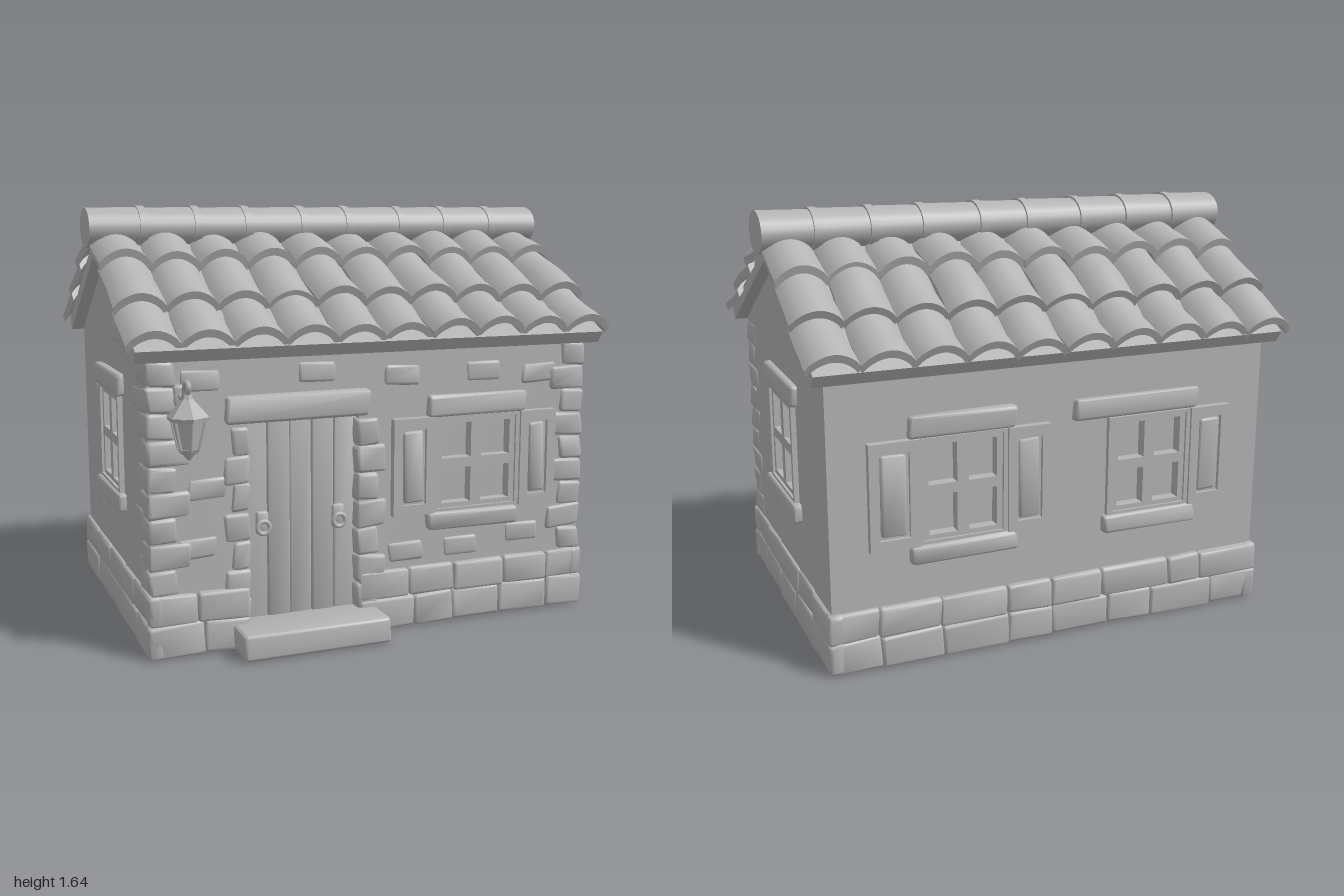
import * as THREE from 'three';
import { toCreasedNormals } from 'three/addons/utils/BufferGeometryUtils.js';
import { RoundedBoxGeometry } from 'three/addons/geometries/RoundedBoxGeometry.js';

const clay = new THREE.MeshStandardMaterial({ color: 0xb4b4b4 });
clay.name = 'grey clay';

let seed = 7;
const rnd = () => (seed = (seed * 16807) % 2147483647) / 2147483647;
const jit = (a) => (rnd() - 0.5) * 2 * a;

function add(parent, name, geo, x = 0, y = 0, z = 0) {
  const m = new THREE.Mesh(geo, clay);
  m.name = name;
  m.position.set(x, y, z);
  parent.add(m);
  return m;
}

// Softly rounded, slightly uneven block given by its limits
function block(parent, name, x0, x1, y0, y1, z0, z1, rough = 0.004, r = 0.014) {
  const w = x1 - x0, h = y1 - y0, d = z1 - z0;
  const g = new RoundedBoxGeometry(w, h, d, 2, Math.min(r, Math.min(w, h, d) * 0.45));
  const p = g.attributes.position, s = rnd() * 50;
  for (let i = 0; i < p.count; i++) {
    const x = p.getX(i), y = p.getY(i), z = p.getZ(i);
    p.setXYZ(i, x + rough * Math.sin(40 * y + 31 * z + s), y + rough * Math.sin(23 * x + 37 * z + s * 2),
      z + rough * Math.sin(19 * x + 29 * y + s * 3));
  }
  return add(parent, name, toCreasedNormals(g, 0.7), (x0 + x1) / 2, (y0 + y1) / 2, (z0 + z1) / 2);
}

function poly(pts) {
  return new THREE.Shape(pts.map(([a, b]) => new THREE.Vector2(a, b)));
}
const rect = (x0, x1, y0, y1) => [[x0, y0], [x1, y0], [x1, y1], [x0, y1]];

function panel(pts, holes, depth) {
  const s = poly(pts);
  holes.forEach((h) => s.holes.push(poly(rect(...h).reverse())));
  return new THREE.ExtrudeGeometry(s, { depth, bevelEnabled: false });
}

// Window facing +z, wall plane at z = 0
function windowUnit(parent, o) {
  const g = new THREE.Group();
  g.name = o.name;
  parent.add(g);
  const { x0, x1, y0, y1 } = o, w = x1 - x0, h = y1 - y0, holes = [];
  for (const i of [0, 1]) for (const j of [0, 1]) {
    const a = x0 + 0.035 + i * (w / 2 - 0.012), b = y0 + 0.03 + j * (h / 2 - 0.01);
    holes.push([a, a + w / 2 - 0.058, b, b + h / 2 - 0.05]);
  }
  add(g, 'windowFrame', panel(rect(x0, x1, y0, y1), holes, 0.045), 0, 0, -0.035);
  add(g, 'outerTrim', panel(rect(x0 - 0.012, x1 + 0.012, y0, y1), [[x0 + 0.012, x1 - 0.012, y0 + 0.012, y1 - 0.012]], 0.05), 0, 0, -0.03);
  block(g, 'lintel', o.lintel[0], o.lintel[1], y1, y1 + 0.085, -0.04, 0.03);
  block(g, 'sill', o.sill[0], o.sill[1], y0 - 0.072, y0, -0.04, 0.035);
  for (const [a, b] of o.shutters || []) {
    add(g, 'shutterFrame', panel(rect(a, b, y0 - 0.002, y1 + 0.002), [[a + 0.037, b - 0.037, y0 + 0.04, y1 - 0.04]], 0.03));
    block(g, 'shutterPanel', a + 0.045, b - 0.045, y0 + 0.048, y1 - 0.048, -0.01, 0.026, 0.002, 0.012);
    add(g, 'shutterBacking', new THREE.BoxGeometry(b - a - 0.01, h - 0.01, 0.02), (a + b) / 2, (y0 + y1) / 2, 0.005);
  }
  return g;
}

// Row of stones along x, facing +z
function stoneRow(parent, name, x0, x1, y0, y1, z0, z1, size) {
  const n = Math.max(1, Math.round((x1 - x0) / size));
  let a = x0;
  for (let i = 1; i <= n; i++) {
    const b = i === n ? x1 : x0 + (x1 - x0) * i / n + jit(size * 0.2);
    block(parent, name, a, b, y0, y1, z0, z1 + jit(0.004), 0.003);
    a = b;
  }
}

// One curved roof tile from its low end to its high end (z, y)
function tile(parent, x, w, low, high) {
  const n = 10, top = [], under = [];
  for (let i = 0; i <= n; i++) {
    const t = i / n, y = 0.058 * (Math.pow(Math.sin(Math.PI * t), 0.75) - 1);
    top.push([(t - 0.5) * w, y]);
    under.unshift([(t - 0.5) * w * 0.94, y - 0.032]);
  }
  const dz = high[0] - low[0], dy = high[1] - low[1], len = Math.hypot(dz, dy) + 0.05;
  const g = new THREE.ExtrudeGeometry(poly([...top, ...under].reverse()), { depth: len, steps: 4, bevelEnabled: false });
  const p = g.attributes.position, s = rnd() * 9;
  for (let i = 0; i < p.count; i++) {
    const v = p.getZ(i) / len;
    p.setX(i, p.getX(i) * (1.02 - 0.06 * v));
    p.setY(i, p.getY(i) + 0.006 * Math.sin(v * 5 + s) - 0.003);
  }
  const up = new THREE.Vector3(0, dy, dz).normalize();
  const nor = new THREE.Vector3(0, Math.abs(up.z), -up.y * Math.sign(up.z));
  g.applyMatrix4(new THREE.Matrix4().makeBasis(new THREE.Vector3().crossVectors(nor, up), nor, up));
  add(parent, 'roofTile', toCreasedNormals(g, 0.8), x, low[1] + jit(0.004), low[0] + jit(0.006));
}

function lantern(parent) {
  const g = new THREE.Group();
  g.name = 'lantern';
  g.position.set(-0.78, 0, 0.68);
  parent.add(g);
  const hex = (name, rt, rb, h, y) => add(g, name, new THREE.CylinderGeometry(rt, rb, h, 6).toNonIndexed(), 0, y, 0).geometry.computeVertexNormals();
  hex('lanternGlass', 0.062, 0.036, 0.11, 0.85);
  hex('lanternRoof', 0.018, 0.078, 0.065, 0.945);
  hex('lanternRim', 0.078, 0.074, 0.014, 0.907);
  hex('lanternBase', 0.044, 0.032, 0.018, 0.792);
  hex('lanternTip', 0.026, 0.006, 0.026, 0.771);
  hex('lanternCap', 0.012, 0.02, 0.02, 0.985);
  for (let i = 0; i < 6; i++) {
    const a = i * Math.PI / 3, s = Math.sin(a), c = Math.cos(a);
    add(g, 'lanternBar', new THREE.TubeGeometry(new THREE.LineCurve3(new THREE.Vector3(0.037 * s, 0.795, 0.037 * c),
      new THREE.Vector3(0.063 * s, 0.905, 0.063 * c)), 1, 0.006, 5));
  }
  const path = [[0.99, 0], [1.02, 0.015], [1.03, -0.01], [1.01, -0.035], [0.975, -0.05], [0.965, -0.075], [0.98, -0.12]];
  add(g, 'lanternBracket', new THREE.TubeGeometry(new THREE.CatmullRomCurve3(path.map(([y, z]) => new THREE.Vector3(0, y, z))), 24, 0.011, 7));
  block(g, 'bracketPlate', -0.025, 0.025, 0.93, 1.01, -0.13, -0.095, 0.001);
}

export function createModel() {
  const house = new THREE.Group();
  house.name = 'stoneCottage';
  const F = 0.565, B = -0.66, S = 0.9;

  // Walls: solid core with a pierced skin on each side
  const core = panel([[-0.51, 0], [0.6, 0], [0.6, 1.1], [0.08, 1.4], [-0.51, 1.1]], [], 1.68);
  add(house, 'core', core.rotateY(Math.PI / 2), -0.84);
  const front = { x0: 0.23, x1: 0.6, y0: 0.45, y1: 0.83 };
  const hole = (o) => [o.x0 + 0.01, o.x1 - 0.01, o.y0 + 0.01, o.y1 - 0.01];
  add(house, 'frontWall', panel(rect(-0.85, 0.85, 0, 1.11), [[-0.53, -0.085, 0.05, 0.87], hole(front)], 0.06), 0, 0, F - 0.06);
  const sideGroups = [1, -1].map((s) => {
    const g = new THREE.Group();
    g.name = s > 0 ? 'leftGable' : 'rightGable';
    g.rotation.y = s * Math.PI / 2;
    g.position.x = s * S;
    house.add(g);
    const win = { name: 'gableWindow', x0: s * 0.05 - 0.18, x1: s * 0.05 + 0.18, y0: 0.525, y1: 0.915,
      lintel: [s * 0.05 - 0.225, s * 0.05 + 0.225], sill: [s * 0.05 - 0.225, s * 0.05 + 0.225] };
    const pts = [[-F, 0], [-B, 0], [-B, 1.11], [0.08, 1.465], [-F, 1.11]].map(([a, b]) => [a * s, b]);
    add(g, 'gableWall', panel(pts, [hole(win)], 0.06), 0, 0, -0.06);
    windowUnit(g, win);
    return g;
  });
  const back = new THREE.Group();
  back.name = 'backWallGroup';
  back.rotation.y = Math.PI;
  back.position.z = B;
  house.add(back);
  const b1 = { name: 'backWindow', x0: -0.56, x1: -0.22, y0: 0.46, y1: 0.865, lintel: [-0.6, -0.18], sill: [-0.6, -0.18],
    shutters: [[-0.755, -0.565], [-0.215, -0.04]] };
  const b2 = { name: 'backWindow', x0: 0.22, x1: 0.565, y0: 0.46, y1: 0.855, lintel: [0.06, 0.6], sill: [0.19, 0.6],
    shutters: [[0.57, 0.745]] };
  add(back, 'backWall', panel(rect(-0.85, 0.85, 0, 1.11), [hole(b1), hole(b2)], 0.06), 0, 0, -0.06);
  windowUnit(back, b1);
  windowUnit(back, b2);
  windowUnit(house, { ...front, name: 'frontWindow', lintel: [0.2, 0.63], sill: [0.2, 0.6],
    shutters: [[0.05, 0.225], [0.605, 0.765]] }).position.z = F;

  // Stone footing on all four sides
  for (const [y0, y1] of [[0, 0.125], [0.12, 0.235]]) {
    stoneRow(house, 'footingStone', -0.915, -0.53, y0, y1, F - 0.04, 0.588, 0.2);
    stoneRow(house, 'footingStone', -0.085, 0.915, y0, y1, F - 0.04, 0.588, 0.2);
    stoneRow(back, 'footingStone', -0.915, 0.915, y0, y1, -0.04, 0.025, 0.23);
    sideGroups.forEach((g, i) => stoneRow(g, 'footingStone', i ? -0.685 : -0.588, i ? 0.588 : 0.685, y0, y1, -0.04, 0.014, 0.25));
  }

  // Corner stones on the front and stones beside the door
  for (let i = 0; i < 9; i++) {
    const y = 0.235 + i * 0.096, long = i % 2;
    for (const s of [-1, 1]) {
      const a = s * 0.906, b = s * (long ? 0.75 : 0.8);
      block(house, 'cornerStone', Math.min(a, b), Math.max(a, b), y, y + 0.094, long ? 0.46 : 0.42, 0.576, 0.004);
    }
    if (i < 7) {
      const h = 0.09 + i * 0.108;
      block(house, 'doorStone', -0.095, long ? 0.025 : -0.005, h, h + 0.106, 0.5, 0.582);
      block(house, 'doorStone', long ? -0.62 : -0.59, -0.522, h, h + 0.106, 0.5, 0.578);
    }
  }
  // Shallow stones scattered over the plaster
  const scatter = [[-0.72, 0.4], [-0.68, 0.62], [-0.7, 1.02], [0.12, 0.3], [0.36, 0.3], [0.64, 0.33], [0.1, 1], [0.45, 1.0], [0.7, 0.98], [-0.25, 1.03]];
  for (const [x, y] of scatter) block(house, 'wallStone', x - 0.08, x + 0.07, y - 0.04, y + 0.04, F - 0.04, F + 0.007, 0.003);
  for (const [x, y] of [[-0.35, 0.4], [0.4, 0.5], [-0.33, 0.85], [0.42, 0.95], [0.05, 1.15], [0.45, 0.32]])
    block(sideGroups[1], 'wallStone', x - 0.08, x + 0.07, y - 0.04, y + 0.04, -0.04, 0.005, 0.003);

  // Door, its lintel, handles and step
  for (let i = 0; i < 5; i++) {
    const x = -0.53 + i * 0.089;
    block(house, 'doorPlank', x, x + 0.088, 0.08, 0.87, 0.49, 0.53 + (i % 2) * 0.004, 0.001, 0.008);
  }
  block(house, 'doorLintel', -0.615, -0.05, 0.86, 0.96, 0.5, 0.6);
  block(house, 'doorStep', -0.595, -0.015, 0, 0.1, 0.5, 0.73, 0.003);
  for (const x of [-0.465, -0.16]) {
    block(house, 'handlePlate', x - 0.025, x + 0.025, 0.42, 0.51, 0.52, 0.548, 0.001);
    add(house, 'doorHandle', new THREE.TorusGeometry(0.024, 0.009, 8, 16), x, 0.45, 0.555);
  }
  lantern(house);

  // Roof deck, then three courses of tiles on each slope
  const deck = panel([[-0.6, 1.095], [0.08, 1.46], [0.69, 1.095], [0.72, 1.14], [0.08, 1.52], [-0.63, 1.14]], [], 1.9);
  add(house, 'roofDeck', deck.rotateY(Math.PI / 2), -0.95);
  for (const line of [[[0.65, 1.215], [0.45, 1.335], [0.2, 1.475], [-0.03, 1.585]],
    [[-0.755, 1.215], [-0.57, 1.335], [-0.37, 1.475], [-0.13, 1.585]]]) {
    for (let c = 0; c < 3; c++) for (let i = 0; i < 10; i++)
      tile(house, -0.882 + i * 0.196, 0.196, line[c], [line[c + 1][0], line[c + 1][1] - 0.035]);
  }

  // Ridge caps with overlap bands
  const cuts = [-0.985, -0.77, -0.55, -0.34, -0.1, 0.1, 0.34, 0.55, 0.77, 0.985];
  const ridge = (name, a, b, r0, r1) => {
    const g = new THREE.CylinderGeometry(r0, r1, b - a, 24).rotateZ(Math.PI / 2).scale(1, 0.75, 1);
    add(house, name, g, (a + b) / 2, 1.553, -0.08);
  };
  for (let i = 0; i < 9; i++) {
    ridge('ridgeCap', cuts[i], cuts[i + 1], 0.104, 0.109);
    if (i) ridge('ridgeBand', cuts[i] - 0.016, cuts[i] + 0.016, 0.115, 0.115);
  }
  return house;
}
